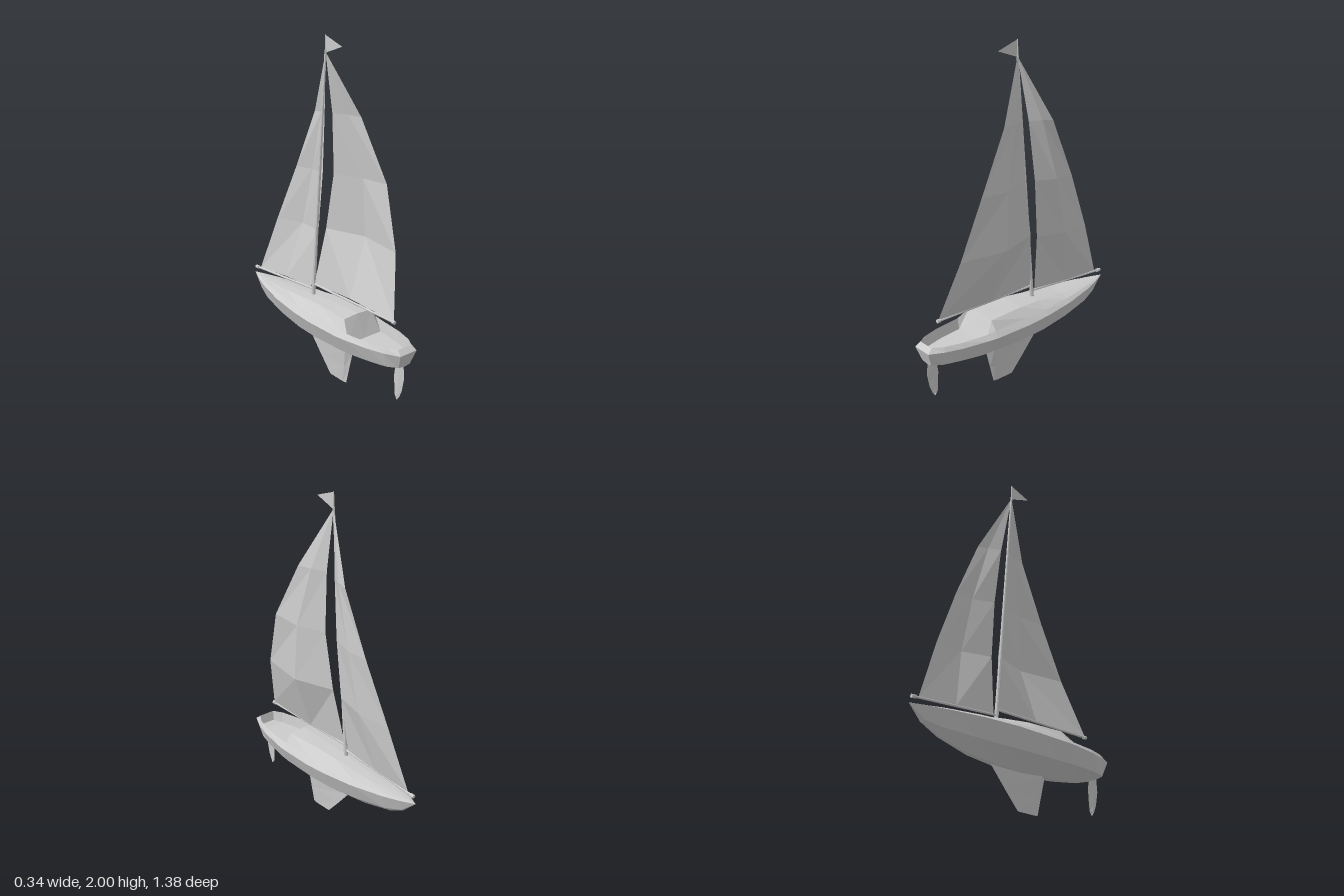
import * as THREE from 'three';

const material = new THREE.MeshStandardMaterial({ color: 0xcccccc, flatShading: true });
const thinMaterial = new THREE.MeshStandardMaterial({ color: 0xcccccc, flatShading: true, side: THREE.DoubleSide });

// Faceted surface through rows of [x, y, z] points
function loft(name, rows, mat = material) {
  const positions = [];
  const v = (p) => new THREE.Vector3(...p);
  const triangle = (a, b, c) => {
    const area = v(b).sub(v(a)).cross(v(c).sub(v(a))).length();
    if (area > 1e-7) positions.push(...a, ...b, ...c);
  };
  for (let i = 0; i < rows.length - 1; i++) {
    for (let j = 0; j < rows[i].length - 1; j++) {
      const a = rows[i][j], b = rows[i][j + 1], c = rows[i + 1][j + 1], d = rows[i + 1][j];
      triangle(a, b, c);
      triangle(a, c, d);
    }
  }
  const geometry = new THREE.BufferGeometry();
  geometry.setAttribute('position', new THREE.Float32BufferAttribute(positions, 3));
  geometry.computeVertexNormals();
  const mesh = new THREE.Mesh(geometry, mat);
  mesh.name = name;
  return mesh;
}

// Round pole between two points in the centre plane, given as [y, z]
function spar(name, from, to, r0, r1) {
  const a = new THREE.Vector3(0, ...from), b = new THREE.Vector3(0, ...to);
  const dir = b.clone().sub(a);
  const mesh = new THREE.Mesh(new THREE.CylinderGeometry(r1, r0, dir.length(), 8), material);
  mesh.position.copy(a).addScaledVector(dir, 0.5);
  mesh.quaternion.setFromUnitVectors(new THREE.Vector3(0, 1, 0), dir.normalize());
  mesh.name = name;
  return mesh;
}

const flipX = ([x, y, z]) => [-x, y, z];
const flatten = (row) => row.map(([, y, z]) => [0, y, z]);

export function createModel() {
  const boat = new THREE.Group();
  boat.name = 'sailboat';

  // Stations from bow to stern: z, gunwale x y, chine x y, keel y
  const hullStations = [
    [-0.69, 0, 0.42, 0, 0.42, 0.42],
    [-0.6, 0.042, 0.415, 0.02, 0.345, 0.335],
    [-0.5, 0.078, 0.41, 0.05, 0.32, 0.285],
    [-0.3, 0.13, 0.403, 0.09, 0.3, 0.235],
    [-0.1, 0.16, 0.397, 0.118, 0.29, 0.215],
    [0.05, 0.168, 0.391, 0.127, 0.288, 0.21],
    [0.28, 0.165, 0.388, 0.125, 0.29, 0.217],
    [0.34, 0.158, 0.388, 0.12, 0.291, 0.224],
    [0.5, 0.13, 0.388, 0.098, 0.297, 0.247],
    [0.6, 0.1, 0.388, 0.075, 0.301, 0.275],
    [0.69, 0.06, 0.39, 0.042, 0.305, 0.3],
  ];
  // Rim x y, cabin edge or cockpit floor edge x y, centre y
  const deckStations = [
    [0, 0.42, 0, 0.42, 0.42],
    [0.03, 0.42, 0.015, 0.422, 0.423],
    [0.06, 0.422, 0.03, 0.427, 0.428],
    [0.105, 0.423, 0.05, 0.437, 0.44],
    [0.13, 0.425, 0.07, 0.46, 0.464],
    [0.138, 0.424, 0.085, 0.472, 0.476],
    [0.138, 0.42, 0.1, 0.472, 0.479],
    [0.133, 0.415, 0.122, 0.35, 0.35],
    [0.112, 0.415, 0.1, 0.35, 0.35],
    [0.085, 0.415, 0.073, 0.35, 0.35],
    [0.05, 0.415, 0.043, 0.36, 0.36],
  ];

  // Hull, closed by the raked transom
  const hullRows = hullStations.map(([z, gx, gy, cx, cy, ky]) => {
    const zc = Math.min(z, 0.66);
    const half = [[gx, gy, z], [cx, cy, zc], [cx * 0.16, ky, zc]];
    return [...half.map(flipX), ...half.reverse()];
  });
  hullRows.push(flatten(hullRows.at(-1)));
  boat.add(loft('hull', hullRows));

  // Deck, cabin roof and sunken cockpit
  const deckRows = deckStations.map(([rx, ry, tx, ty, cy], i) => {
    const [z, gx, gy] = hullStations[i];
    const zf = Math.min(z, 0.645);
    const half = [[gx, gy, z], [rx, ry, Math.min(z, 0.66)], [tx, ty, zf]];
    return [...half, [0, cy, zf], ...half.map(flipX).reverse()];
  });
  deckRows.push(flatten(deckRows.at(-1)));
  boat.add(loft('deck', deckRows));

  // Fin keel: y, leading z, thickest z, trailing z, half thickness
  const finRows = [
    [0.25, -0.18, 0.2, 0.25, 0.026],
    [0.21, -0.14, 0.2, 0.24, 0.024],
    [0.1, -0.045, 0.18, 0.212, 0.012],
    [0, 0.045, 0.16, 0.187, 0.004],
  ].map(([y, zl, zm, zt, h]) => [[0, y, zl], [h, y, zm], [0, y, zt], [-h, y, zm], [0, y, zl]]);
  finRows.push(flatten(finRows.at(-1)));
  boat.add(loft('keel', finRows, thinMaterial));

  // Rudder blade: y, forward z, aft z
  const rudderRows = [
    [0.31, 0.595, 0.655],
    [0.22, 0.584, 0.661],
    [0.14, 0.588, 0.645],
    [0.1, 0.592, 0.628],
    [0.08, 0.605, 0.615],
  ].map(([y, zf, za]) => {
    const zm = (zf + za) / 2;
    return [[0, y, zf], [0.006, y, zm], [0, y, za], [-0.006, y, zm], [0, y, zf]];
  });
  boat.add(loft('rudder', rudderRows, thinMaterial));

  // Raked mast, staff and the two booms
  boat.add(spar('mast', [0.45, -0.112], [1.92, 0], 0.012, 0.006));
  boat.add(spar('flagStaff', [1.9, 0], [2, 0], 0.005, 0.003));
  boat.add(spar('mainBoom', [0.53, -0.105], [0.53, 0.575], 0.007, 0.007));
  boat.add(spar('mainBoomEnd', [0.53, 0.56], [0.53, 0.58], 0.011, 0.011));
  boat.add(spar('jibBoom', [0.497, -0.11], [0.46, -0.66], 0.007, 0.007));
  boat.add(spar('jibBoomEnd', [0.461, -0.65], [0.459, -0.675], 0.011, 0.011));

  // Sails bellied to the left, rows from head to foot
  boat.add(loft('mainsail', [
    [[0, 1.91, 0], [0, 1.91, 0], [0, 1.91, 0]],
    [[0.045, 1.57, 0.003], [0.085, 1.57, 0.09], [0.1, 1.57, 0.18]],
    [[0.062, 1.22, -0.003], [0.125, 1.22, 0.17], [0.128, 1.23, 0.36]],
    [[0.05, 0.88, -0.055], [0.132, 0.88, 0.19], [0.09, 0.88, 0.48]],
    [[0, 0.535, -0.1], [0.012, 0.535, 0.2], [0, 0.535, 0.572]],
  ], thinMaterial));
  boat.add(loft('jib', [
    [[0, 1.91, 0], [0, 1.91, 0], [0, 1.91, 0]],
    [[0.035, 1.55, -0.05], [0.07, 1.55, -0.12], [0.08, 1.54, -0.19]],
    [[0.05, 1.2, -0.085], [0.085, 1.19, -0.22], [0.07, 1.18, -0.35]],
    [[0.04, 0.85, -0.112], [0.075, 0.84, -0.3], [0.038, 0.82, -0.5]],
    [[0, 0.5, -0.13], [0.008, 0.485, -0.38], [0, 0.466, -0.63]],
  ], thinMaterial));

  // Pennant at the masthead
  boat.add(loft('pennant', [
    [[0, 2, 0], [0, 1.905, 0]],
    [[0, 1.955, 0.135], [0, 1.955, 0.135]],
  ], thinMaterial));

  return boat;
}
